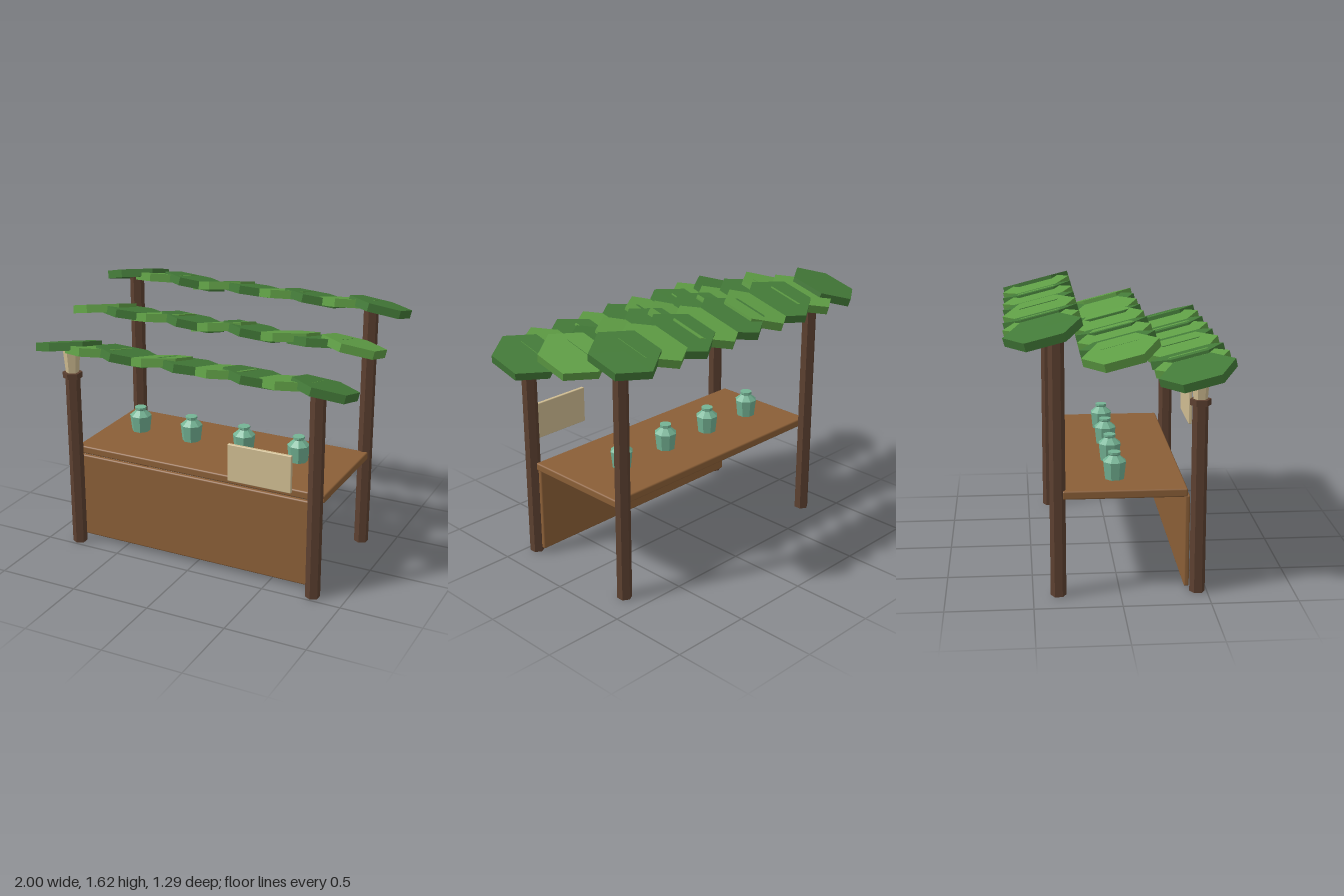
import * as THREE from 'three';
import { RoundedBoxGeometry } from 'three/addons/geometries/RoundedBoxGeometry.js';

const mat = (name, color) => {
  const m = new THREE.MeshStandardMaterial({ color });
  m.name = name;
  return m;
};

// Faceted normals for the low-poly parts
const flat = (geometry) => {
  const g = geometry.index ? geometry.toNonIndexed() : geometry;
  g.computeVertexNormals();
  return g;
};

const hex = (rTop, rBottom, h) => flat(new THREE.CylinderGeometry(rTop, rBottom, h, 6));

export function createModel() {
  const model = new THREE.Group();
  model.name = 'marketStall';

  const postWood = mat('dark post wood', 0x5c4030);
  const plankWood = mat('counter wood', 0x8b5f37);
  const leafDark = mat('dark leaf green', 0x437a38);
  const leafLight = mat('light leaf green', 0x5f9e45);
  const glaze = mat('jar green', 0x74b394);
  const board = mat('sign beige', 0xd0bd92);

  const add = (name, geometry, material, x, y, z, parent = model) => {
    const mesh = new THREE.Mesh(geometry, material);
    mesh.name = name;
    mesh.position.set(x, y, z);
    parent.add(mesh);
    return mesh;
  };

  // Hexagonal corner posts, taller at the back
  const post = (name, x, z, h) => add(name, hex(0.045, 0.045, h), postWood, x, h / 2, z);
  post('frontLeftPost', 0.805, 0.445, 1.29);
  post('frontRightPost', -0.805, 0.445, 1.13);
  post('backLeftPost', 0.805, -0.355, 1.55);
  post('backRightPost', -0.805, -0.355, 1.55);

  // Collar and flared top of the front right post
  add('postCollar', hex(0.06, 0.06, 0.035), postWood, -0.805, 1.127, 0.445);
  add('postFlare', hex(0.053, 0.04, 0.15), board, -0.805, 1.215, 0.445);

  // Counter
  add('counterTop', new RoundedBoxGeometry(1.67, 0.05, 0.71, 2, 0.01), plankWood, 0, 0.605, 0.025);
  add('counterFront', new RoundedBoxGeometry(1.62, 0.55, 0.03, 2, 0.01), plankWood, 0, 0.305, 0.382);

  // Sign board
  add('signBoard', new RoundedBoxGeometry(0.4, 0.23, 0.022, 2, 0.005), board, 0.5, 0.805, 0.549);

  // Row of octagonal jars
  const jarProfile = [[0, 0], [0.058, 0], [0.07, 0.105], [0.034, 0.135], [0.03, 0.14],
    [0.038, 0.147], [0.038, 0.16], [0, 0.16]].map(([r, y]) => new THREE.Vector2(r, y));
  const jarGeometry = flat(new THREE.LatheGeometry(jarProfile, 8));
  [-0.605, -0.237, 0.131, 0.499].forEach((x, i) => {
    add(`jar${i + 1}`, jarGeometry, glaze, x, 0.63, -0.018).rotation.y = Math.PI / 8;
  });

  // Three sloping rows of overlapping hexagonal leaves, each rolled a little
  const leafGeometry = flat(new THREE.CylinderGeometry(0.22, 0.22, 0.05, 6).scale(0.866, 1, 1));
  const outerRoll = [0.16, 0.05, -0.12, 0.12, -0.05, 0.05, -0.1, 0.05, -0.16];
  const middleRoll = [0.16, -0.05, 0.09, -0.12, 0.15, -0.12, 0.1, 0.05, -0.16];
  const rows = [
    { name: 'backLeaves', y: 1.54, z: -0.425, roll: outerRoll },
    { name: 'middleLeaves', y: 1.42, z: 0, roll: middleRoll },
    { name: 'frontLeaves', y: 1.3, z: 0.425, roll: outerRoll },
  ];
  rows.forEach((row, r) => {
    const group = new THREE.Group();
    group.name = row.name;
    row.roll.forEach((roll, i) => {
      const leaf = add('leaf', leafGeometry, (r + i) % 2 ? leafLight : leafDark,
        (i - 4) * 0.2085, row.y, row.z, group);
      leaf.rotation.set(-0.25, 0, roll);
    });
    model.add(group);
  });

  return model;
}
